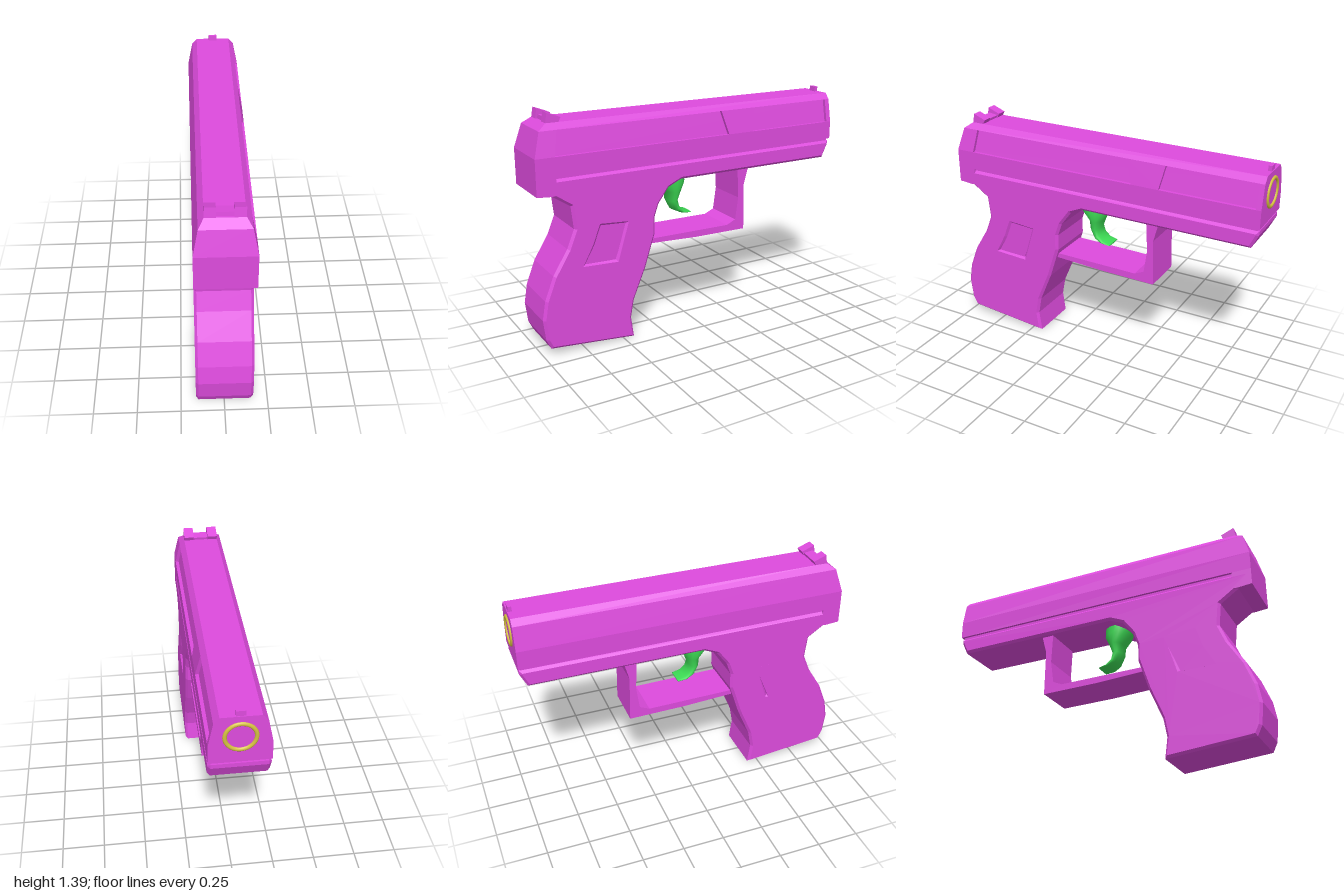
import * as THREE from 'three';

const body = new THREE.MeshStandardMaterial({ color: 0xdd4bdd, flatShading: true });
const green = new THREE.MeshStandardMaterial({ color: 0x3ddc55 });
const gold = new THREE.MeshStandardMaterial({ color: 0xd4c040 });

// Side outlines are lists of [z, y]
const pts = (list) => list.map(([z, y]) => new THREE.Vector2(-z, y));

// Extrude a side outline across x from x0 to x1, with an optional inset bevel and hole
function sideExtrude(outline, x0, x1, bevel = 0, hole = null) {
  const shape = new THREE.Shape(pts(outline));
  if (hole) shape.holes.push(new THREE.Path(pts(hole)));
  const geo = new THREE.ExtrudeGeometry(shape, {
    depth: x1 - x0 - 2 * bevel, bevelEnabled: bevel > 0, bevelSize: bevel,
    bevelThickness: bevel, bevelOffset: -bevel, bevelSegments: 1,
  });
  return geo.translate(0, 0, x0 + bevel).rotateY(Math.PI / 2);
}

// Move every vertex by a rule
function warp(geo, rule) {
  const p = geo.attributes.position;
  const v = new THREE.Vector3();
  for (let i = 0; i < p.count; i++) {
    v.fromBufferAttribute(p, i);
    rule(v);
    p.setXYZ(i, v.x, v.y, v.z);
  }
  geo.computeVertexNormals();
  return geo;
}

// Rear slope of the slide
function rearZ(y) {
  if (y <= 1.17) return 1;
  if (y <= 1.31) return 1 - (y - 1.17) / 0.14 * 0.04;
  return 0.96 - (y - 1.31) / 0.035 * 0.05;
}

// Closed loft of elliptical sections: [backZ, backY, frontZ, frontY, halfWidth]
function triggerGeometry() {
  const sections = [
    [0.19, 0.96, 0.01, 0.96, 0.085], [0.18, 0.89, 0.01, 0.89, 0.09],
    [0.127, 0.83, 0.04, 0.83, 0.075], [0.122, 0.77, 0.06, 0.775, 0.062],
    [0.09, 0.71, 0.05, 0.735, 0.06], [0.04, 0.686, 0.025, 0.705, 0.06],
    [-0.02, 0.682, -0.02, 0.692, 0.055],
  ];
  const n = 16, pos = [], idx = [];
  for (const [bz, by, fz, fy, w] of sections) {
    for (let i = 0; i < n; i++) {
      const a = i / n * Math.PI * 2, t = (1 - Math.cos(a)) / 2;
      pos.push(w * Math.sin(a), by + (fy - by) * t, bz + (fz - bz) * t);
    }
  }
  for (let s = 0; s < sections.length - 1; s++) {
    for (let i = 0; i < n; i++) {
      const a = s * n + i, b = s * n + (i + 1) % n;
      idx.push(a, a + n, b, b, a + n, b + n);
    }
  }
  const last = (sections.length - 1) * n;
  for (let i = 1; i < n - 1; i++) idx.push(last, last + i + 1, last + i);
  const geo = new THREE.BufferGeometry();
  geo.setAttribute('position', new THREE.Float32BufferAttribute(pos, 3));
  geo.setIndex(idx);
  geo.computeVertexNormals();
  return geo;
}

export function createModel() {
  const model = new THREE.Group();
  const add = (name, geo, mat = body, parent = model) => {
    const mesh = new THREE.Mesh(geo, mat);
    mesh.name = name;
    parent.add(mesh);
    return mesh;
  };

  // Slide: stacked bands [y0, y1, left0, left1, right0, right1], stepped in on the +x flank
  const slide = new THREE.Group();
  slide.name = 'slide';
  model.add(slide);
  const bands = [
    [1.0, 1.06, 0.148, 0.148, 0.148, 0.148],
    [1.06, 1.17, 0.163, 0.163, 0.163, 0.163],
    [1.17, 1.31, 0.163, 0.135, 0.143, 0.115],
    [1.31, 1.345, 0.135, 0.105, 0.135, 0.105],
  ];
  bands.forEach(([y0, y1, l0, l1, r0, r1], i) => {
    const shape = new THREE.Shape([
      new THREE.Vector2(-l0, y0), new THREE.Vector2(r0, y0),
      new THREE.Vector2(r1, y1), new THREE.Vector2(-l1, y1),
    ]);
    const geo = new THREE.ExtrudeGeometry(shape, { depth: 1, bevelEnabled: false });
    const front = i === 0 ? -0.975 : -0.99;
    add('slideBand', warp(geo, (v) => {
      v.z = v.z > 0.5 ? (i === 0 ? 0.98 : rearZ(v.y)) : front;
    }), body, slide);
  });

  // Raised areas between the flank recesses
  const raised = [
    [[1, 1.17], [0.96, 1.31], [0.86, 1.31], [0.885, 1.17]],
    [[-0.22, 1.17], [-0.18, 1.31], [-0.42, 1.31], [-0.39, 1.17]],
    [[-0.96, 1.17], [-0.96, 1.31], [-0.99, 1.31], [-0.99, 1.17]],
  ];
  for (const outline of raised) {
    add('slideFlank', warp(sideExtrude(outline, 0.1, 0.163), (v) => {
      v.x -= (v.y - 1.17) * 0.2;
    }), body, slide);
  }

  // Frame and grip, with a shallow recess on the +x side of the grip
  const frameOutline = [
    [0.985, 1.045], [0.985, 0.965], [0.915, 0.953], [0.805, 0.88], [0.79, 0.745],
    [0.835, 0.635], [0.925, 0.49], [0.98, 0.35], [1.0, 0.235], [0.985, 0.11],
    [0.957, 0.053], [0.433, 0.005], [0.45, 0.13], [0.43, 0.24], [0.35, 0.43],
    [0.285, 0.63], [0.285, 0.73], [0.257, 0.81], [0.19, 0.9], [0.105, 0.938],
    [-0.945, 0.938], [-0.985, 1.02], [-0.985, 1.045],
  ];
  const recess = [[0.628, 0.738], [0.475, 0.728], [0.54, 0.52], [0.73, 0.526], [0.67, 0.63]];
  const plug = [[0.65, 0.757], [0.45, 0.745], [0.55, 0.5], [0.76, 0.506], [0.69, 0.63]];
  add('frame', sideExtrude(frameOutline, -0.163, 0.163, 0.015, recess));
  add('gripPanel', sideExtrude(plug, -0.1632, 0.15));
  add('rearBlock', sideExtrude(
    [[1, 1.06], [1, 0.96], [0.915, 0.953], [0.885, 0.955], [0.885, 1.06]], -0.163, 0.163));

  // Trigger guard
  add('triggerGuard', sideExtrude([
    [0.32, 0.566], [-0.01, 0.55], [-0.358, 0.545], [-0.353, 0.83], [-0.385, 0.95],
    [-0.305, 0.95], [-0.315, 0.755], [-0.295, 0.615], [-0.235, 0.588], [0.32, 0.594],
  ], -0.13, 0.13));

  add('trigger', triggerGeometry(), green);

  // Sights
  const rearSight = [[0.912, 1.335], [0.9, 1.4], [0.822, 1.37], [0.84, 1.335]];
  for (const side of [-1, 1]) {
    add('rearSightPost', sideExtrude(rearSight, side * 0.075 - 0.03, side * 0.075 + 0.03));
  }
  add('rearSightBase', sideExtrude(
    [[0.9, 1.335], [0.895, 1.368], [0.835, 1.36], [0.84, 1.335]], -0.05, 0.05));
  add('frontSight', sideExtrude(
    [[-0.962, 1.335], [-0.965, 1.375], [-0.985, 1.375], [-0.985, 1.335]], -0.025, 0.025));

  // Muzzle ring
  add('muzzleRing', new THREE.TorusGeometry(0.08, 0.012, 10, 32).translate(0, 1.22, -0.988), gold);

  return model;
}
